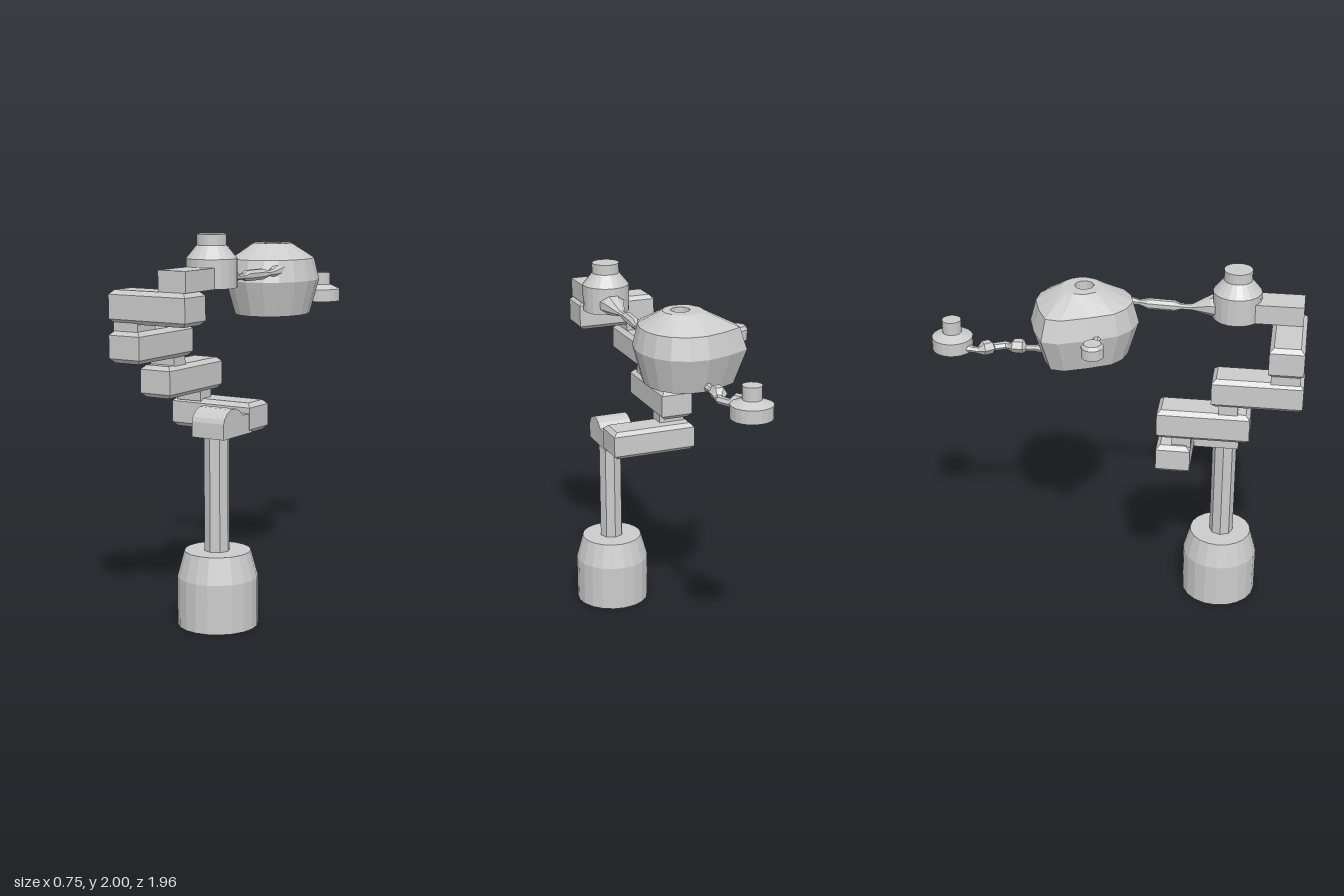
import * as THREE from 'three';

const grey = new THREE.MeshStandardMaterial({ color: 0xcccccc, flatShading: true });

export function createModel() {
  const model = new THREE.Group();

  const add = (name, geometry, x = 0, y = 0, z = 0) => {
    const mesh = new THREE.Mesh(geometry, grey);
    mesh.name = name;
    mesh.position.set(x, y, z);
    model.add(mesh);
    return mesh;
  };

  // Turned part from [radius, height] pairs, closed at both ends
  const turned = (name, profile, sides, x, z) => {
    const pts = [[0, profile[0][1]], ...profile, [0, profile[profile.length - 1][1]]];
    return add(name, new THREE.LatheGeometry(pts.map(p => new THREE.Vector2(...p)), sides), x, 0, z);
  };

  // Block with every edge chamfered, given by its limits
  const block = (name, [x0, x1], [y0, y1], [z0, z1], c = 0.022) => {
    const w = (x1 - x0) / 2 - c, d = (z1 - z0) / 2 - c, h = y1 - y0;
    const s = new THREE.Shape();
    s.moveTo(-w, -d).lineTo(w, -d).lineTo(w, d).lineTo(-w, d).closePath();
    const g = new THREE.ExtrudeGeometry(s, {
      depth: h - 2 * c, bevelThickness: c, bevelSize: c, bevelSegments: 1,
    });
    g.translate(0, 0, c - h / 2).rotateX(-Math.PI / 2);
    return add(name, g, (x0 + x1) / 2, (y0 + y1) / 2, (z0 + z1) / 2);
  };

  // Skin over a list of equal-length rings of [x, y, z]
  const loft = rings => {
    const n = rings[0].length, index = [];
    for (let j = 0; j < rings.length - 1; j++) {
      for (let i = 0; i < n; i++) {
        const k = (i + 1) % n;
        const a = j * n + i, b = j * n + k, c = b + n, d = a + n;
        index.push(a, d, c, a, c, b);
      }
    }
    const g = new THREE.BufferGeometry();
    g.setAttribute('position', new THREE.Float32BufferAttribute(rings.flat(2), 3));
    g.setIndex(index);
    g.computeVertexNormals();
    return g;
  };

  // Link through sections [x, y, z, width, height]
  const link = (name, sections, sides = 8) => {
    const up = new THREE.Vector3(0, 1, 0);
    const at = s => new THREE.Vector3(s[0], s[1], s[2]);
    const k = 0.5 / Math.cos(Math.PI / sides);
    const rings = sections.map((s, i) => {
      const a = at(sections[Math.max(0, i - 1)]), b = at(sections[Math.min(sections.length - 1, i + 1)]);
      const side = up.clone().cross(b.sub(a).setY(0).normalize());
      return Array.from({ length: sides }, (_, m) => {
        const t = (m + 0.5) / sides * Math.PI * 2;
        return at(s).addScaledVector(up, Math.cos(t) * s[4] * k)
          .addScaledVector(side, Math.sin(t) * s[3] * k).toArray();
      });
    });
    const cap = s => Array.from({ length: sides }, () => s.slice(0, 3));
    return add(name, loft([cap(sections[0]), ...rings, cap(sections[sections.length - 1])]));
  };

  // Base and post
  turned('base', [[0.207, 0], [0.207, 0.255], [0.17, 0.39]], 20, 0.165, 0.565);
  turned('post', [[0.066, 0.39], [0.066, 1.0]], 8, 0.165, 0.57);

  // Rounded knuckle on top of the post, extruded sideways
  const k = new THREE.Shape();
  k.moveTo(-0.38, 0.98).lineTo(-0.65, 0.98).lineTo(-0.65, 1.06);
  for (let i = 1; i <= 6; i++) {
    const a = Math.PI - i / 6 * Math.PI * 0.86;
    k.lineTo(-0.557 + Math.cos(a) * 0.093, 1.05 + Math.sin(a) * 0.077);
  }
  k.lineTo(-0.38, 1.08).closePath();
  const kg = new THREE.ExtrudeGeometry(k, { depth: 0.19, bevelEnabled: false });
  kg.rotateY(Math.PI / 2);
  add('postKnuckle', kg, 0.068, 0, 0);

  // Four folding arms, joined by short pins
  block('firstArm', [-0.215, 0.262], [0.975, 1.132], [0.23, 0.41]);
  block('secondArm', [-0.2, -0.02], [1.17, 1.335], [0.23, 0.715]);
  block('thirdArm', [-0.197, -0.015], [1.375, 1.535], [0.51, 0.98]);
  block('fourthArm', [-0.2, 0.25], [1.57, 1.735], [0.795, 0.975]);
  const pins = [[1.12, 1.19, 0.36, 0.1], [1.325, 1.385, 0.6, 0.1], [1.52, 1.59, 0.885, 0.15]];
  for (const [y0, y1, z, d] of pins) {
    add('armPin', new THREE.BoxGeometry(0.145, y1 - y0, d), -0.11, (y0 + y1) / 2, z);
  }

  // Head with its bracket
  add('headBracket', new THREE.BoxGeometry(0.16, 0.105, 0.36), 0.162, 1.7875, 0.775);
  turned('head', [[0.128, 1.735], [0.128, 1.88], [0.075, 1.945], [0.075, 2]], 20, 0.162, 0.605);

  // Neck from the head to the body
  link('neck', [
    [0.165, 1.787, 0.52, 0.15, 0.105], [0.165, 1.787, 0.47, 0.12, 0.1],
    [0.162, 1.77, 0.37, 0.04, 0.03], [0.162, 1.77, 0.31, 0.038, 0.03],
    [0.16, 1.772, 0.28, 0.055, 0.055], [0.168, 1.772, 0.14, 0.055, 0.055],
    [0.18, 1.772, 0.09, 0.032, 0.028], [0.182, 1.775, 0.05, 0.04, 0.04],
    [0.17, 1.79, -0.02, 0.1, 0.08],
  ]);

  // Pear-shaped body with a hole through its middle
  const outline = [
    [0, -0.46], [0.1, -0.45], [0.19, -0.405], [0.25, -0.33], [0.28, -0.24], [0.284, -0.15],
    [0.26, -0.05], [0.21, 0.03], [0.14, 0.08], [0.05, 0.105], [-0.05, 0.08], [-0.13, 0.02],
    [-0.2, -0.12], [-0.26, -0.27], [-0.25, -0.36], [-0.13, -0.42],
  ];
  const cx = 0.045, cz = -0.18;
  const scaled = (y, s) => outline.map(([x, z]) => [cx + (x - cx) * s, y, cz + (z - cz) * s]);
  const round = (y, r, ox = 0, oz = 0) => outline.map(([x, z]) => {
    const l = Math.hypot(x - cx, z - cz) / r;
    return [cx + ox + (x - cx) / l, y, cz + oz + (z - cz) / l];
  });
  add('body', loft([
    round(1.535, 0.035), scaled(1.535, 0.8), scaled(1.72, 1), scaled(1.835, 0.89),
    round(1.915, 0.107, -0.01, -0.01), round(1.915, 0.05), round(1.535, 0.035),
  ]));

  // Small side knob and its stem
  turned('sideKnob', [[0.058, 1.695], [0.058, 1.75], [0.045, 1.768], [0.03, 1.768]], 14, -0.318, -0.085);
  link('sideStem', [
    [-0.29, 1.72, -0.085, 0.05, 0.03], [-0.255, 1.72, -0.085, 0.028, 0.022],
    [-0.21, 1.72, -0.085, 0.025, 0.022], [-0.13, 1.72, -0.09, 0.06, 0.04],
  ], 6);

  // Jointed tail with a round end piece
  link('tail', [
    [-0.01, 1.565, -0.36, 0.06, 0.06], [-0.01, 1.56, -0.44, 0.025, 0.03],
    [-0.012, 1.56, -0.485, 0.03, 0.03], [-0.014, 1.568, -0.5, 0.07, 0.065],
    [-0.012, 1.568, -0.55, 0.07, 0.065], [0, 1.555, -0.575, 0.04, 0.035],
    [0.01, 1.555, -0.6, 0.045, 0.035], [-0.018, 1.555, -0.66, 0.045, 0.035],
    [-0.04, 1.568, -0.67, 0.07, 0.065], [-0.065, 1.568, -0.705, 0.07, 0.065],
    [-0.075, 1.56, -0.73, 0.03, 0.03], [-0.077, 1.565, -0.76, 0.03, 0.03],
    [-0.07, 1.57, -0.8, 0.06, 0.04],
  ], 6);
  turned('tailEnd', [[0.108, 1.545], [0.108, 1.615], [0.05, 1.64], [0.05, 1.71]], 20, -0.035, -0.875);

  return model;
}
